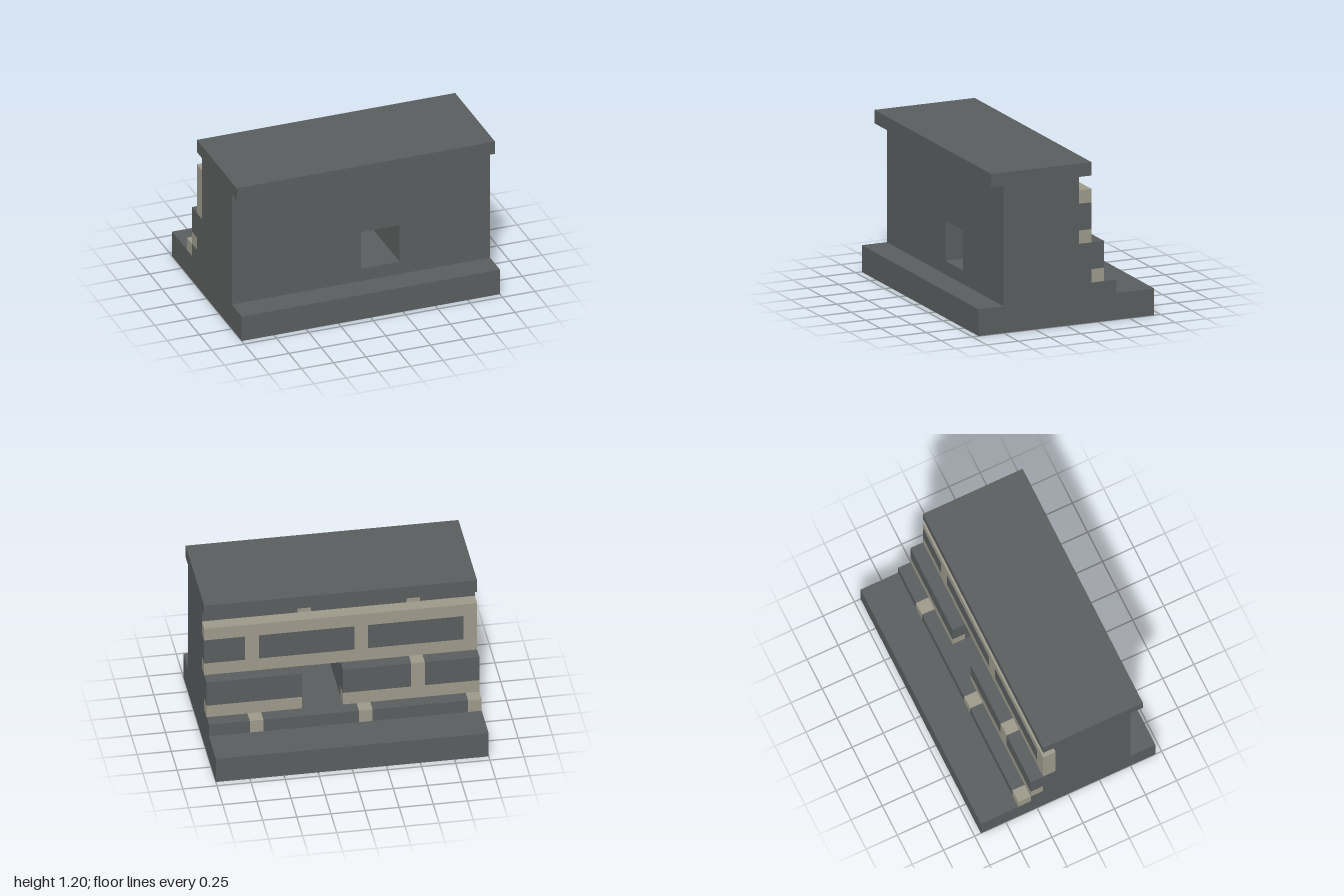
import * as THREE from 'three';

export function createModel() {
  const model = new THREE.Group();
  model.name = 'stoneWall';
  const stone = new THREE.MeshStandardMaterial({ color: 0x595d5d });
  stone.name = 'darkStone';
  const mortar = new THREE.MeshStandardMaterial({ color: 0x9c998a });
  mortar.name = 'paleMortar';

  // Box given by its limits on each axis
  function block(name, material, [x0, x1], [y0, y1], [z0, z1], parent = model) {
    const mesh = new THREE.Mesh(new THREE.BoxGeometry(x1 - x0, y1 - y0, z1 - z0), material);
    mesh.position.set((x0 + x1) / 2, (y0 + y1) / 2, (z0 + z1) / 2);
    mesh.name = name;
    parent.add(mesh);
  }

  // Row of bricks from x0 to x1 with 0.1 wide joints starting at the given x
  function course(name, [x0, x1], y, z, joints) {
    const row = new THREE.Group();
    row.name = name;
    model.add(row);
    let x = x0;
    for (const j of joints) {
      if (j - x > 0.001) block('brick', stone, [x, j], y, z, row);
      block('joint', mortar, [j, j + 0.1], y, z, row);
      x = j + 0.1;
    }
    if (x1 - x > 0.001) block('brick', stone, [x, x1], y, z, row);
  }

  const full = [-1, 1];
  block('base', stone, full, [0, 0.2], [-0.7, 0.7]);
  block('cap', stone, full, [1.1, 1.2], [-0.2, 0.6]);

  // Wall core with the square opening
  const outline = new THREE.Shape([[-1, 0.2], [1, 0.2], [1, 1], [-1, 1]].map(p => new THREE.Vector2(...p)));
  outline.holes.push(new THREE.Path([[0, 0.3], [0, 0.6], [0.3, 0.6], [0.3, 0.3]].map(p => new THREE.Vector2(...p))));
  const core = new THREE.Mesh(new THREE.ExtrudeGeometry(outline, { depth: 0.6, bevelEnabled: false }), stone);
  core.position.z = -0.1;
  core.name = 'wallCore';
  model.add(core);
  block('wallTop', stone, full, [1, 1.1], [0, 0.5]);
  block('openingSill', stone, full, [0.2, 0.3], [-0.3, -0.1]);

  // Lowest course
  course('footCourse', full, [0.2, 0.3], [-0.4, -0.3], [-1, -0.2, 0.6]);

  // Second course, on both sides of the opening
  for (const [span, joints] of [[[-1, 0], [-0.6]], [[0.3, 1], []]]) {
    block('lowerBacking', stone, span, [0.3, 0.6], [-0.2, -0.1]);
    block('lowerBed', mortar, span, [0.3, 0.4], [-0.3, -0.2]);
    course('lowerCourse', span, [0.4, 0.6], [-0.3, -0.2], joints);
  }

  // Third course between two mortar beds
  block('middleBed', mortar, full, [0.6, 0.7], [-0.2, -0.1]);
  course('upperCourse', full, [0.7, 0.9], [-0.2, -0.1], [-1, -0.2, 0.6]);
  block('upperBed', mortar, full, [0.9, 1], [-0.2, -0.1]);

  // Recessed course under the cap
  course('recessedCourse', full, [1, 1.1], [-0.1, 0], [-0.6, 0.2]);

  return model;
}
